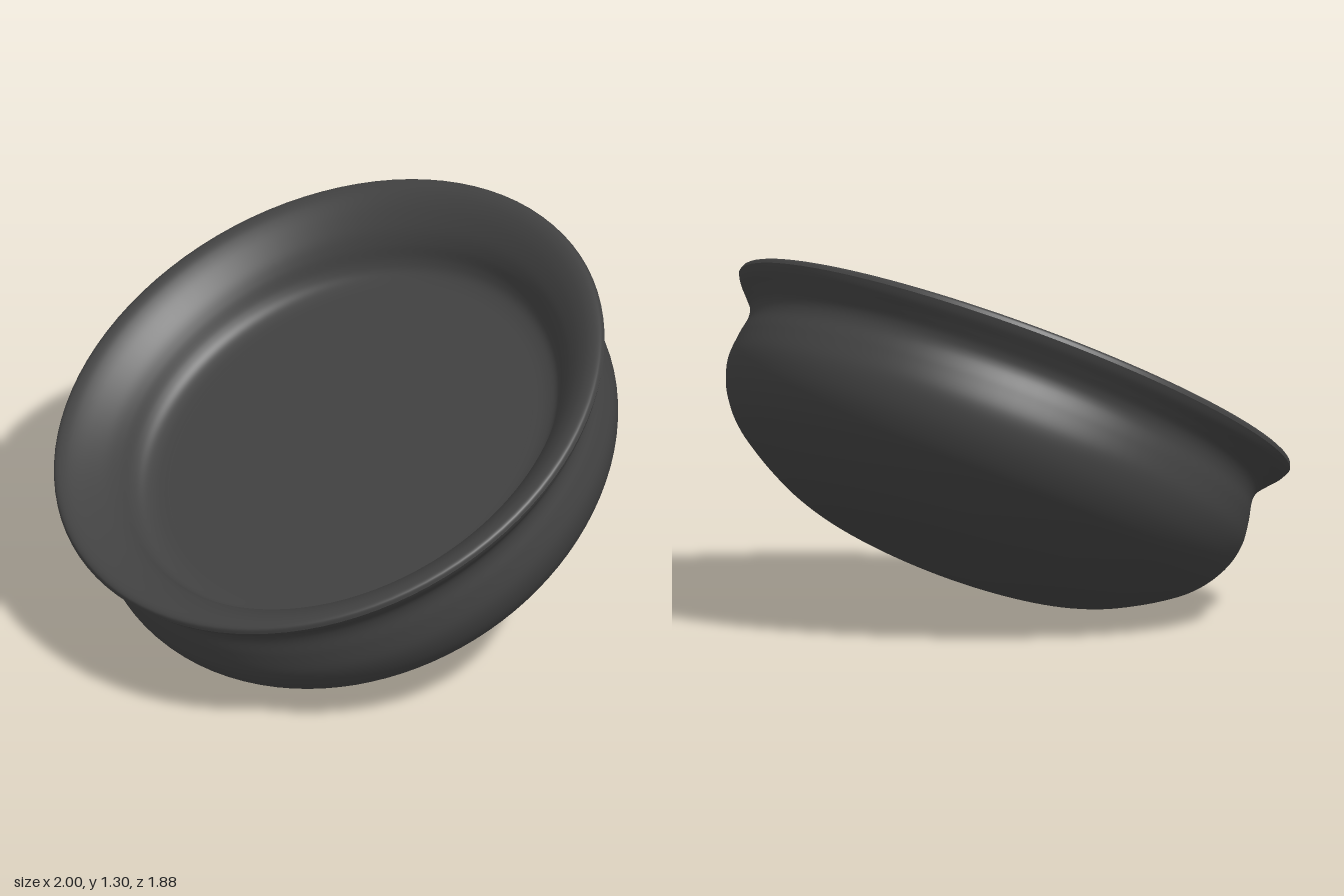
import * as THREE from 'three';

// Smooth surface of revolution through a few [radius, height] points
function lathe(name, profile, material) {
  const curve = new THREE.SplineCurve(profile.map(([r, h]) => new THREE.Vector2(r, h)));
  const points = curve.getPoints((profile.length - 1) * 7);
  points.forEach((p) => { p.x = Math.max(0, p.x); });
  const geometry = new THREE.LatheGeometry(points, 96);

  // Hand-made unevenness: slightly wider and deeper towards the front
  const pos = geometry.attributes.position;
  for (let i = 0; i < pos.count; i++) {
    const z = pos.getZ(i);
    pos.setX(i, pos.getX(i) * (1 + 0.015 * z));
    pos.setY(i, pos.getY(i) * (1 + 0.02 * z));
  }
  const mesh = new THREE.Mesh(geometry, material);
  mesh.name = name;
  return mesh;
}

export function createModel() {
  const charcoal = new THREE.MeshStandardMaterial({ color: 0x424242 });
  charcoal.name = 'charcoal';

  const model = new THREE.Group();
  model.name = 'tiltedBowl';

  // Heights are measured from the rim plane
  const bowl = new THREE.Group();
  bowl.name = 'bowl';

  // Rounded underside, full belly, pinched neck and thick flared lip
  bowl.add(lathe('outerWall', [
    [0, -0.735], [0.16, -0.732], [0.31, -0.721], [0.47, -0.694], [0.58, -0.66],
    [0.67, -0.617], [0.76, -0.563], [0.833, -0.508], [0.886, -0.445], [0.919, -0.38],
    [0.934, -0.31], [0.927, -0.23], [0.915, -0.165], [0.922, -0.122], [0.95, -0.085],
    [0.983, -0.048], [0.999, -0.02],
  ], charcoal));

  // Lip rolls over and slopes down to the inside
  bowl.add(lathe('innerWall', [
    [0.999, -0.02], [0.992, -0.003], [0.97, 0.002], [0.935, -0.008], [0.89, -0.036],
    [0.84, -0.082], [0.807, -0.128], [0.78, -0.182], [0.752, -0.213], [0.71, -0.227],
    [0.66, -0.23],
  ], charcoal));

  // Shallow flat inside
  bowl.add(lathe('innerFloor', [
    [0.66, -0.23], [0.45, -0.231], [0.2, -0.231], [0, -0.231],
  ], charcoal));

  // Lean the opening towards the front
  bowl.rotation.x = THREE.MathUtils.degToRad(26.3);
  bowl.position.set(0, 0.86, 0.05);
  model.add(bowl);
  return model;
}
